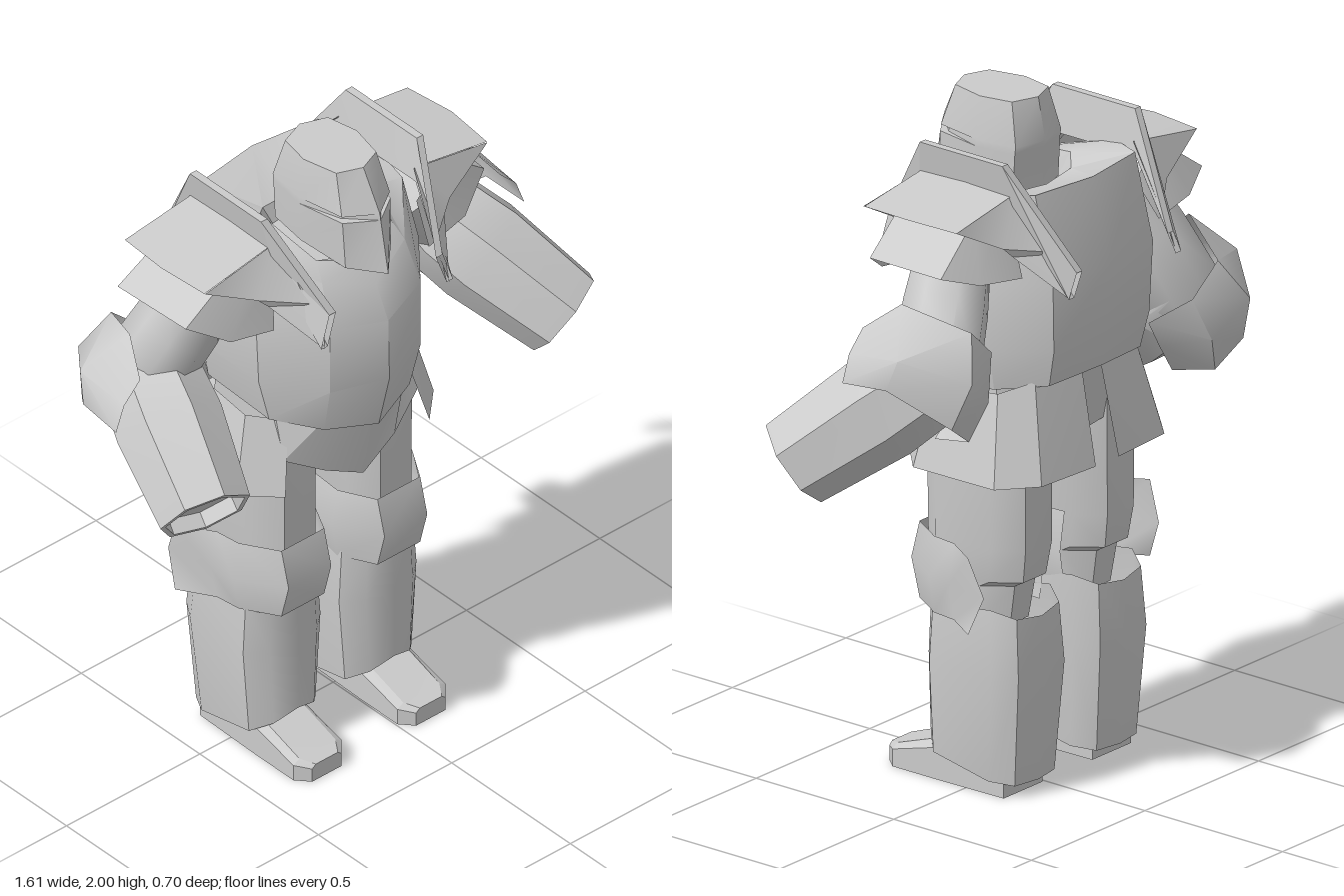
import * as THREE from 'three';
import { toCreasedNormals } from 'three/addons/utils/BufferGeometryUtils.js';

const material = new THREE.MeshStandardMaterial({ color: 0xcccccc, side: THREE.DoubleSide });

function mesh(name, geometry, crease = 0.45) {
  const m = new THREE.Mesh(toCreasedNormals(geometry, crease), material);
  m.name = name;
  return m;
}

// Skins a list of cross-sections, each a list of [x, y, z]
function loft(rows, { closed = true, bottom = false, top = false } = {}) {
  const pos = [];
  const n = rows[0].length;
  for (let r = 0; r < rows.length - 1; r++) {
    for (let i = 0; i < (closed ? n : n - 1); i++) {
      const j = (i + 1) % n;
      const a = rows[r][i], b = rows[r][j], c = rows[r + 1][j], d = rows[r + 1][i];
      pos.push(...a, ...b, ...c, ...a, ...c, ...d);
    }
  }
  const cap = (ring, flip) => {
    const mid = [0, 1, 2].map((k) => ring.reduce((s, p) => s + p[k], 0) / n);
    ring.forEach((p, i) => {
      const q = ring[(i + 1) % n];
      pos.push(...mid, ...(flip ? q : p), ...(flip ? p : q));
    });
  };
  if (bottom) cap(rows[0], true);
  if (top) cap(rows[rows.length - 1], false);
  const g = new THREE.BufferGeometry();
  g.setAttribute('position', new THREE.Float32BufferAttribute(pos, 3));
  return g;
}

// Completes half a ring (front to back) with its mirror image
const sym = (half) => [...half, ...half.slice(1, -1).reverse().map(([x, y, z]) => [-x, y, z])];
// Chamfered rectangular ring at height y
const octagon = (cx, y, w, z0, z1, c = 0.06) => [
  [cx - w + c, y, z1], [cx + w - c, y, z1], [cx + w, y, z1 - c * 1.3], [cx + w, y, z0 + c * 1.3],
  [cx + w - c, y, z0], [cx - w + c, y, z0], [cx - w, y, z0 + c * 1.3], [cx - w, y, z1 - c * 1.3],
];

// Lathed limb section running from one point to another
function limb(name, from, to, profile, sides) {
  const a = new THREE.Vector3(...from), dir = new THREE.Vector3(...to).sub(a);
  const len = dir.length();
  const g = new THREE.LatheGeometry(profile.map(([r, t]) => new THREE.Vector2(r, t * len)), sides);
  g.applyQuaternion(new THREE.Quaternion().setFromUnitVectors(new THREE.Vector3(0, 1, 0), dir.normalize()));
  g.translate(...from);
  return mesh(name, g, 0.85);
}

function makeHead() {
  const g = new THREE.Group();
  g.name = 'head';
  const brow = [[0, 1.875, 0.31], [0.09, 1.875, 0.25], [0.118, 1.875, 0.1], [0.1, 1.875, -0.03], [0, 1.875, -0.055]];
  const cheek = brow.map(([x, , z]) => [x, 1.855, z + 0.003]);
  const slit = (ring) => ring.map(([x, y, z], i) => (i === 1 ? [x - 0.012, y, z - 0.022] : [x, y, z]));
  g.add(mesh('helmet', loft([
    sym([[0, 1.685, 0.345], [0.085, 1.7, 0.26], [0.11, 1.72, 0.1], [0.1, 1.73, -0.02], [0, 1.73, -0.045]]),
    sym(cheek), sym(slit(cheek)), sym(slit(brow)), sym(brow),
    sym([[0, 2, 0.24], [0.075, 2, 0.21], [0.1, 2, 0.1], [0.08, 2, 0], [0, 2, -0.03]]),
  ], { top: true, bottom: true })));
  return g;
}

function makeTorso() {
  const g = new THREE.Group();
  g.name = 'torso';
  g.add(mesh('breastplate', loft([
    sym([[0, 1.135, 0.305], [0.16, 1.165, 0.255], [0.265, 1.19, 0.14], [0.28, 1.22, -0.1], [0.2, 1.24, -0.235], [0, 1.25, -0.26]]),
    sym([[0, 1.32, 0.35], [0.17, 1.32, 0.29], [0.295, 1.33, 0.13], [0.3, 1.34, -0.1], [0.21, 1.35, -0.26], [0, 1.36, -0.28]]),
    sym([[0, 1.52, 0.345], [0.17, 1.54, 0.29], [0.305, 1.54, 0.13], [0.31, 1.54, -0.1], [0.22, 1.56, -0.265], [0, 1.56, -0.29]]),
    sym([[0, 1.62, 0.295], [0.155, 1.67, 0.24], [0.27, 1.75, 0.1], [0.28, 1.8, -0.08], [0.22, 1.81, -0.2], [0, 1.81, -0.23]]),
    sym([[0, 1.68, 0.25], [0.14, 1.72, 0.2], [0.17, 1.77, 0.1], [0.165, 1.78, -0.01], [0.12, 1.755, -0.05], [0, 1.745, -0.06]]),
    sym([[0, 1.67, 0.2], [0.12, 1.68, 0.17], [0.145, 1.7, 0.1], [0.14, 1.7, 0.02], [0.1, 1.7, -0.03], [0, 1.7, -0.04]]),
  ], { top: true, bottom: true }), 0.55));
  g.add(mesh('pelvis', loft([
    sym([[0, 0.925, 0.24], [0.13, 0.99, 0.225], [0.25, 1.06, 0.185], [0.26, 1.08, -0.1], [0.14, 1.04, -0.17], [0, 1.03, -0.18]]),
    sym([[0, 1.17, 0.285], [0.15, 1.19, 0.245], [0.25, 1.2, 0.15], [0.26, 1.26, -0.09], [0.18, 1.27, -0.2], [0, 1.27, -0.22]]),
  ], { top: true, bottom: true })));
  return g;
}

// Parts that repeat identically on both sides, in +x
function makeSide() {
  const g = new THREE.Group();

  // Upper plate with a flap folded down at the front and back
  g.add(mesh('upperPauldron', loft([
    [[0.53, 1.78, 0.165], [0.545, 1.785, 0], [0.53, 1.78, -0.17]],
    [[0.27, 1.82, 0.16], [0.275, 1.825, 0], [0.27, 1.82, -0.165]],
  ], { closed: false }), 0.3));
  for (const s of [1, -1]) {
    g.add(mesh('pauldronFlap', loft([
      [[0.26, 1.82, 0.16 * s], [0.53, 1.78, 0.168 * s]],
      [[0.205, 1.66, 0.31 * s], [0.36, 1.69, 0.2 * s]],
      [[0.235, 1.535, 0.34 * s], [0.33, 1.66, 0.21 * s]],
    ], { closed: false }), 0.6));
  }

  // Raised blade arching over the shoulder
  const blade = (dx) => [
    [[0.2 + dx, 1.64, 0.335], [0.292 + dx, 1.91, 0.15], [0.292 + dx, 1.91, -0.15], [0.2 + dx, 1.61, -0.345]],
    [[0.235 + dx, 1.54, 0.34], [0.27 + dx, 1.78, 0.17], [0.27 + dx, 1.78, -0.17], [0.235 + dx, 1.54, -0.345]],
  ];
  const [o, i] = [blade(0.012), blade(-0.012)];
  g.add(mesh('shoulderBlade', loft([o[0], o[1], i[1], i[0], o[0]], { closed: false }), 0.3));
  g.add(mesh('lowerPauldron', loft([
    [[0.27, 1.7, 0.16], [0.34, 1.75, 0.15], [0.4, 1.77, 0.13], [0.41, 1.77, -0.13], [0.34, 1.75, -0.15], [0.27, 1.7, -0.16]],
    [[0.29, 1.545, 0.19], [0.44, 1.57, 0.175], [0.56, 1.645, 0.12], [0.575, 1.65, -0.15], [0.46, 1.61, -0.2], [0.3, 1.59, -0.22]],
  ], { closed: false }), 0.4));

  // Hip skirt panel, open at the front and parted at the back
  g.add(mesh('hipSkirt', loft([
    [[0.27, 0.96, 0.215], [0.37, 0.96, 0.12], [0.365, 0.96, -0.17], [0.27, 0.965, -0.265], [0.05, 0.965, -0.28]],
    [[0.22, 1.18, 0.17], [0.31, 1.2, 0.09], [0.3, 1.22, -0.13], [0.22, 1.25, -0.2], [0.04, 1.25, -0.22]],
  ], { closed: false }), 0.6));

  const cx = 0.18;
  g.add(mesh('thigh', loft([
    octagon(cx, 0.5, 0.1, -0.11, 0.15), octagon(cx, 0.62, 0.105, -0.13, 0.16), octagon(cx, 0.64, 0.11, -0.165, 0.17),
    octagon(cx, 0.74, 0.118, -0.18, 0.175), octagon(cx, 1.12, 0.12, -0.18, 0.175),
  ], { top: true, bottom: true }), 0.7));

  // Knee guard wraps the front and flares into an outer wing
  const knee = (y, s, tip, back) => [
    [cx - 0.125 * s, y, -0.08], [cx - 0.135 * s, y, 0.08], [cx - 0.08, y, 0.187 * s],
    [cx + 0.08, y, 0.187 * s], [cx + 0.145 * s, y, 0.08], [cx + 0.155 * s, y, 0], [tip, y, back],
  ];
  g.add(mesh('kneeGuard', loft([
    knee(0.52, 1, 0.4, -0.105), knee(0.635, 1.16, 0.385, -0.15), knee(0.75, 1, 0.4, -0.105),
  ], { closed: false }), 0.7));

  // Hollow greave with a notched lower edge
  const shin = (w, z0, z1, y) => [
    [0, z1], [0.6, z1 - 0.02], [1, z1 - 0.07], [1, z0 + 0.08], [0.7, z0 + 0.015], [0, z0],
    [-0.7, z0 + 0.015], [-1, z0 + 0.08], [-1, z1 - 0.07], [-0.6, z1 - 0.02],
  ].map(([x, z], k) => [cx + x * w, y[k > 5 ? 10 - k : k], z]);
  g.add(mesh('greave', loft([
    shin(0.125, -0.18, 0.17, [0.15, 0.12, 0.09, 0.05, 0.04, 0.04]),
    shin(0.145, -0.205, 0.168, [0.37, 0.37, 0.37, 0.37, 0.37, 0.37]),
    shin(0.133, -0.192, 0.165, [0.54, 0.54, 0.54, 0.57, 0.545, 0.535]),
  ], { bottom: true }), 0.65));

  // Boot built from sections running heel to toe
  const foot = [[-0.135, 0.085, 0.12], [0.105, 0.09, 0.12], [0.265, 0.09, 0.065], [0.305, 0.055, 0.055]];
  g.add(mesh('boot', loft(foot.map(([z, w, h]) => [
    [0.195 - w, 0, z], [0.195 + w, 0, z], [0.195 + w, h * 0.8, z],
    [0.195 + w * 0.75, h, z], [0.195 - w * 0.75, h, z], [0.195 - w, h * 0.8, z],
  ]), { top: true, bottom: true }), 0.2));
  return g;
}

function makeArm(name, shoulder, elbow, hand) {
  const g = new THREE.Group();
  g.name = name;
  g.add(limb('upperArm', shoulder, elbow, [[0, -0.15], [0.11, -0.1], [0.125, 0.4], [0.13, 1], [0.1, 1.25], [0, 1.3]], 8));
  g.add(limb('forearm', elbow, hand, [[0, -0.2], [0.1, -0.18], [0.15, 0.1], [0.16, 0.4], [0.138, 1], [0.122, 1], [0.12, 0.9], [0, 0.9]], 7));
  return g;
}

// Bent guard around the back of the elbow
const makeElbowGuard = () => mesh('elbowGuard', loft([
  [[0.69, 1.36, 0.03], [0.68, 1.37, -0.12], [0.56, 1.25, -0.26], [0.46, 1.18, -0.24], [0.44, 1.15, -0.1]],
  [[0.66, 1.44, 0.03], [0.665, 1.46, -0.15], [0.53, 1.39, -0.31], [0.41, 1.29, -0.27], [0.36, 1.25, -0.12]],
  [[0.6, 1.5, 0.03], [0.55, 1.58, -0.07], [0.46, 1.51, -0.25], [0.36, 1.42, -0.24], [0.3, 1.34, -0.13]],
], { closed: false }), 0.8);

export function createModel() {
  const model = new THREE.Group();
  model.name = 'armouredFigure';

  const body = new THREE.Group();
  body.name = 'body';
  body.position.x = -0.1;
  const left = makeSide(), right = makeSide();
  left.name = 'leftSide';
  right.name = 'rightSide';
  right.scale.x = -1;
  body.add(makeHead(), makeTorso(), left, right);

  // Arms are posed separately
  const leftArm = makeArm('leftArm', [0.28, 1.6, -0.03], [0.46, 1.37, -0.12], [0.68, 1.08, 0.21]);
  leftArm.add(makeElbowGuard());
  const rightArm = makeArm('rightArm', [-0.47, 1.6, -0.03], [-0.57, 1.31, -0.15], [-0.675, 1.055, 0.22]);
  const guard = makeElbowGuard();
  guard.scale.x = -1;
  guard.position.set(-0.115, -0.08, -0.04);
  rightArm.add(guard);

  model.add(body, leftArm, rightArm);
  return model;
}
